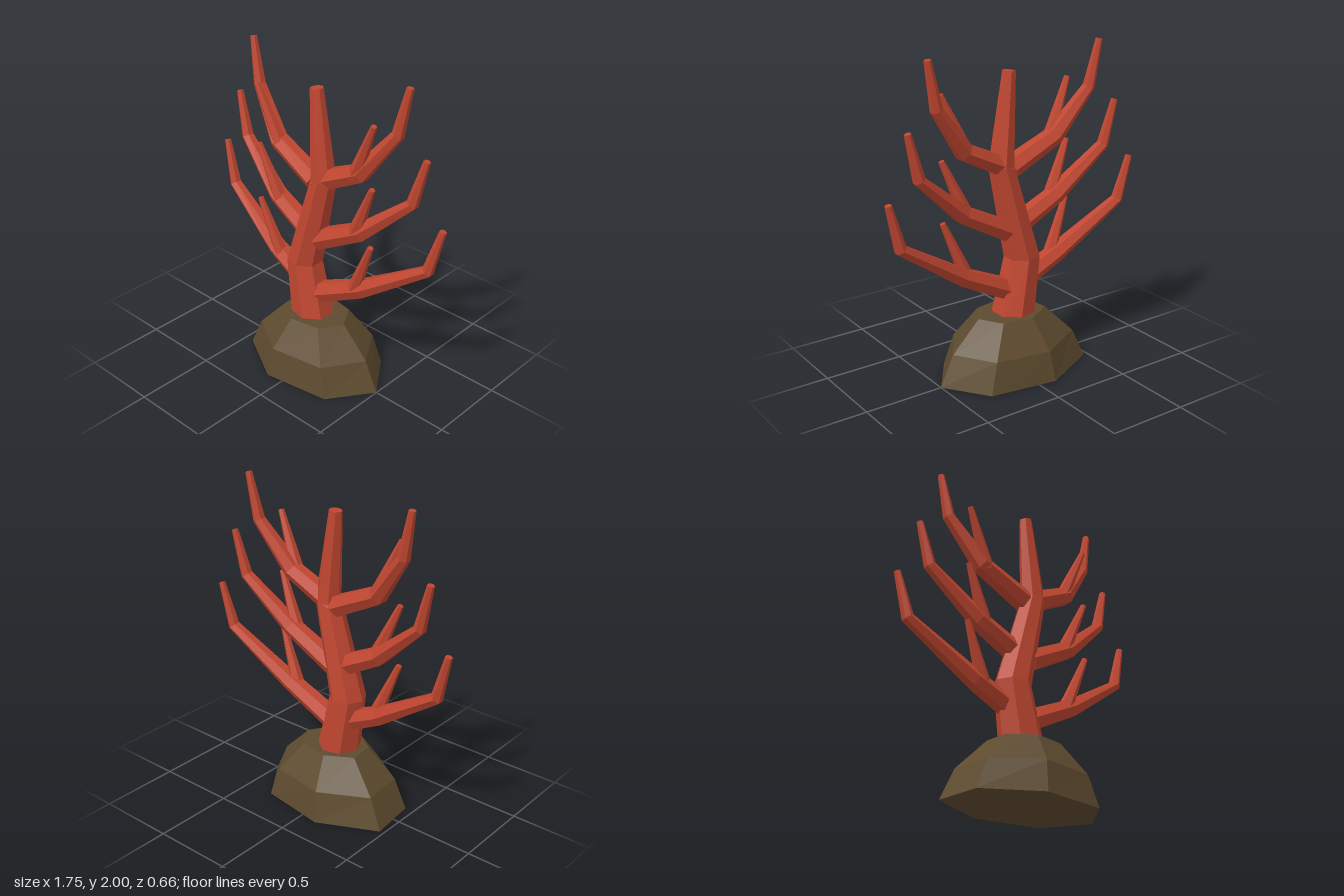
import * as THREE from 'three';

const coralRed = new THREE.MeshStandardMaterial({ color: 0xc04630 });
coralRed.name = 'coral red';
coralRed.flatShading = true;
const rockBrown = new THREE.MeshStandardMaterial({ color: 0x5e4b2f });
rockBrown.name = 'rock brown';
rockBrown.flatShading = true;

// Joins rings of points (counter-clockwise about the path) into a closed faceted skin
function loft(rings) {
  const pos = [];
  const tri = (...pts) => pts.forEach((p) => pos.push(p.x, p.y, p.z));
  const n = rings[0].length;
  const last = rings[rings.length - 1];
  for (let i = 0; i < rings.length - 1; i++) {
    for (let j = 0; j < n; j++) {
      const k = (j + 1) % n;
      tri(rings[i][j], rings[i][k], rings[i + 1][k]);
      tri(rings[i][j], rings[i + 1][k], rings[i + 1][j]);
    }
  }
  for (let j = 1; j < n - 1; j++) {
    tri(rings[0][0], rings[0][j + 1], rings[0][j]);
    tri(last[0], last[j], last[j + 1]);
  }
  const geo = new THREE.BufferGeometry();
  geo.setAttribute('position', new THREE.Float32BufferAttribute(pos, 3));
  geo.computeVertexNormals();
  return geo;
}

// Tapered limb through [x, y, z, radius] stations; the first corner points along ref
function limb(name, stations, sides, ref) {
  const pts = stations.map(([x, y, z]) => new THREE.Vector3(x, y, z));
  const rings = pts.map((p, i) => {
    const t = new THREE.Vector3();
    if (i > 0) t.add(p.clone().sub(pts[i - 1]).normalize());
    if (i < pts.length - 1) t.add(pts[i + 1].clone().sub(p).normalize());
    t.normalize();
    const u = ref.clone().addScaledVector(t, -ref.dot(t)).normalize();
    const v = t.clone().cross(u);
    return Array.from({ length: sides }, (_, j) => {
      const a = (j / sides) * Math.PI * 2;
      const r = stations[i][3];
      return p.clone().addScaledVector(u, r * Math.cos(a)).addScaledVector(v, r * Math.sin(a));
    });
  });
  const mesh = new THREE.Mesh(loft(rings), coralRed);
  mesh.name = name;
  return mesh;
}

export function createModel() {
  const group = new THREE.Group();
  group.name = 'coral';

  // Rock base: seven-sided oval mound, slightly uneven at the -x end
  const uneven = [1, 1, 1, 1.05, 0.98, 1, 1];
  const rockRings = [[0, 0.5, 0.34], [0.19, 0.41, 0.305], [0.375, 0.225, 0.18]].map(([y, rx, rz]) =>
    uneven.map((s, j) => {
      const a = (j / 7) * Math.PI * 2;
      return new THREE.Vector3(rx * s * Math.cos(a), y, -rz * s * Math.sin(a));
    }));
  const rock = new THREE.Mesh(loft(rockRings), rockBrown);
  rock.name = 'rockBase';
  group.add(rock);

  // Trunk: bends to one side, then back
  group.add(limb('trunk', [
    [0, 0.19, 0, 0.145],
    [-0.095, 0.72, 0, 0.112],
    [0.055, 1.31, 0, 0.078],
    [0, 1.86, 0, 0.04],
  ], 7, new THREE.Vector3(-1, 0, 0)));

  // Three tiers of mirrored branches, each with a small twig
  const tiers = [
    { path: [[0.03, 0.53], [0.35, 0.685], [0.78, 0.965], [0.855, 1.24]], twig: [[0.3, 0.66], [0.445, 1.02]] },
    { path: [[0.02, 0.9], [0.335, 1.065], [0.65, 1.34], [0.722, 1.615]], twig: [[0.3, 1.05], [0.445, 1.39]] },
    { path: [[0.01, 1.285], [0.32, 1.435], [0.53, 1.715], [0.588, 1.995]], twig: [[0.29, 1.41], [0.445, 1.77]] },
  ];
  const branchDepth = [0, -0.015, -0.07, -0.085];
  const branchRadius = [0.07, 0.06, 0.038, 0.021];
  const forward = new THREE.Vector3(0, 0, 1);
  for (const side of [1, -1]) {
    const label = side > 0 ? 'left' : 'right';
    tiers.forEach(({ path, twig }, t) => {
      group.add(limb(`${label}Branch${t + 1}`,
        path.map(([x, y], i) => [side * x, y, branchDepth[i], branchRadius[i]]), 6, forward));
      group.add(limb(`${label}Twig${t + 1}`,
        twig.map(([x, y], i) => [side * x, y, [0, 0.03][i], [0.045, 0.018][i]]), 6, forward));
    });
  }
  return group;
}
